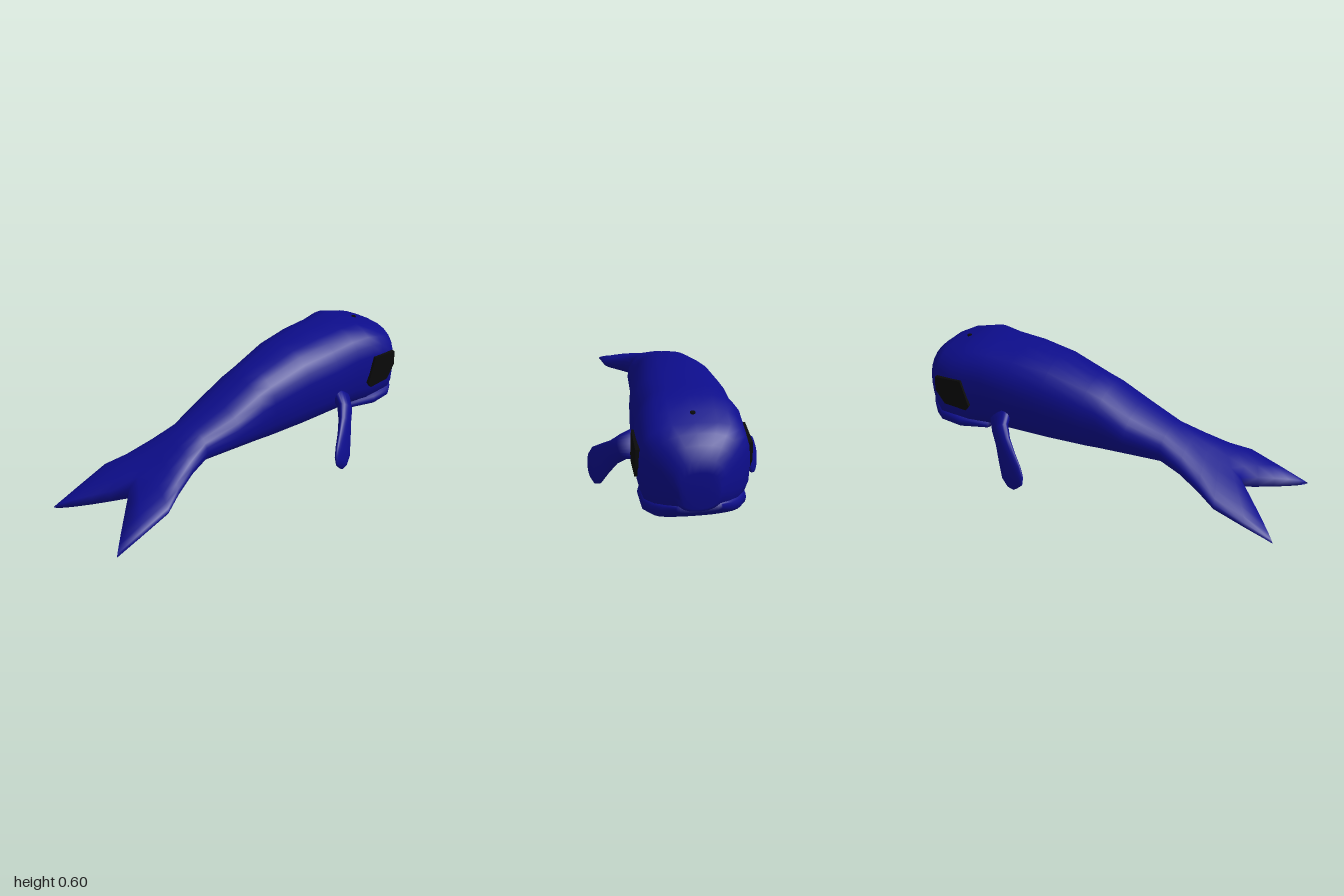
import * as THREE from 'three';

const SEG = 24;
const skin = new THREE.MeshStandardMaterial({ color: 0x0d0d8c });
const dark = new THREE.MeshStandardMaterial({ color: 0x0a0a0a });

// Skin a list of closed rings (SEG points each), with both ends closed in strips
function loft(rings) {
  const pos = rings.flat().flatMap((p) => [p.x, p.y, p.z]);
  const index = [];
  const last = (rings.length - 1) * SEG;
  for (let i = 0; i < rings.length - 1; i++) {
    for (let j = 0; j < SEG; j++) {
      const a = i * SEG + j, b = i * SEG + (j + 1) % SEG;
      index.push(a, b, b + SEG, a, b + SEG, a + SEG);
    }
  }
  for (let j = 0; j < SEG / 2; j++) {
    const k = (SEG - j) % SEG, m = SEG - j - 1;
    index.push(j, m, j + 1, j, k, m);
    index.push(last + j, last + j + 1, last + m, last + j, last + m, last + k);
  }
  const geo = new THREE.BufferGeometry();
  geo.setAttribute('position', new THREE.Float32BufferAttribute(pos, 3));
  geo.setIndex(index);
  geo.computeVertexNormals();
  return geo;
}

const power = (v, n) => Math.sign(v) * Math.pow(Math.abs(v), 2 / n);

// Rounded cross-section; sweep and drop pull its sides backward and down
function section([z, halfWidth, bottom, top, n, sweep = 0, drop = 0]) {
  return Array.from({ length: SEG }, (_, j) => {
    const a = (j / SEG) * Math.PI * 2;
    const u = power(Math.cos(a), n);
    return new THREE.Vector3(
      halfWidth * u,
      (top + bottom) / 2 + ((top - bottom) / 2) * power(Math.sin(a), n) - drop * Math.abs(u),
      z + sweep * Math.abs(u)
    );
  });
}

function add(group, name, geometry, material) {
  const mesh = new THREE.Mesh(geometry, material);
  mesh.name = name;
  group.add(mesh);
  return mesh;
}

function flipper(s) {
  // centre x, y, z, half width, half thickness
  const stations = [
    [0.19, 0.28, -0.5, 0.08, 0.05],
    [0.26, 0.25, -0.465, 0.06, 0.035],
    [0.3, 0.205, -0.425, 0.058, 0.028],
    [0.34, 0.15, -0.38, 0.075, 0.024],
    [0.375, 0.095, -0.335, 0.092, 0.022],
    [0.395, 0.06, -0.3, 0.077, 0.018],
    [0.405, 0.042, -0.28, 0.044, 0.01],
  ];
  const along = new THREE.Vector3(s * 0.506, -0.625, 0.595).normalize();
  const wide = new THREE.Vector3(s * 0.117, 0.735, 0.673).normalize();
  const thick = along.clone().cross(wide);
  return loft(stations.map(([x, y, z, w, t]) =>
    Array.from({ length: SEG }, (_, j) => {
      const a = (j / SEG) * Math.PI * 2;
      return new THREE.Vector3(s * x, y, z)
        .addScaledVector(wide, w * Math.cos(a))
        .addScaledVector(thick, t * Math.sin(a));
    })));
}

function eye(s) {
  const outline = [[-0.7, 0.45], [-0.855, 0.43], [-0.86, 0.35], [-0.81, 0.28], [-0.68, 0.28], [-0.66, 0.31]];
  const shape = new THREE.Shape(outline.map(([z, y]) => new THREE.Vector2(-s * z, y)));
  const geo = new THREE.ExtrudeGeometry(shape, { depth: 0.06, bevelEnabled: false });
  geo.rotateY(s * Math.PI / 2);
  geo.translate(s * 0.19, 0, 0);
  return geo;
}

export function createModel() {
  const whale = new THREE.Group();
  whale.name = 'whale';

  // Body from blunt head to forked tail: z, half width, bottom, top, squareness, sweep, drop
  const body = [
    [-1.0, 0.09, 0.21, 0.38, 2.4],
    [-0.985, 0.115, 0.19, 0.43, 2.4],
    [-0.95, 0.16, 0.155, 0.48, 2.6],
    [-0.91, 0.2, 0.127, 0.515, 2.8],
    [-0.86, 0.24, 0.125, 0.54, 3],
    [-0.78, 0.243, 0.125, 0.567, 3],
    [-0.7, 0.243, 0.125, 0.595, 3],
    [-0.6, 0.226, 0.135, 0.598, 2.8],
    [-0.45, 0.228, 0.145, 0.6, 2.6],
    [-0.26, 0.207, 0.147, 0.59, 2.5],
    [-0.05, 0.178, 0.16, 0.535, 2.4],
    [0.03, 0.173, 0.175, 0.51, 2.4],
    [0.18, 0.165, 0.2, 0.44, 2.3],
    [0.36, 0.13, 0.21, 0.38, 2.2],
    [0.46, 0.16, 0.19, 0.335, 2, 0.02],
    [0.55, 0.2, 0.168, 0.295, 2, 0.05, 0.01],
    [0.62, 0.246, 0.155, 0.265, 2, 0.08, 0.02],
    [0.68, 0.246, 0.148, 0.245, 2, 0.18, 0.055],
    [0.73, 0.246, 0.15, 0.21, 2, 0.27, 0.08],
  ];
  add(whale, 'bodyAndTail', loft(body.map(section)), skin);

  // Lower jaw standing slightly proud as a lip
  const jaw = [
    [-0.985, 0.1, 0.185, 0.23, 3],
    [-0.95, 0.155, 0.15, 0.225, 3],
    [-0.91, 0.195, 0.127, 0.22, 3.2],
    [-0.86, 0.228, 0.125, 0.215, 3.5],
    [-0.74, 0.232, 0.125, 0.21, 3.5],
    [-0.6, 0.19, 0.14, 0.2, 3],
  ];
  add(whale, 'lowerJaw', loft(jaw.map(section)), skin);

  for (const s of [1, -1]) {
    const side = s > 0 ? 'left' : 'right';
    add(whale, side + 'Flipper', flipper(s), skin);
    add(whale, side + 'Eye', eye(s), dark);
  }

  // Blowhole on top of the head
  const hole = add(whale, 'blowhole', new THREE.CylinderGeometry(0.012, 0.012, 0.02, 8), dark);
  hole.position.set(0, 0.554, -0.8);

  return whale;
}
